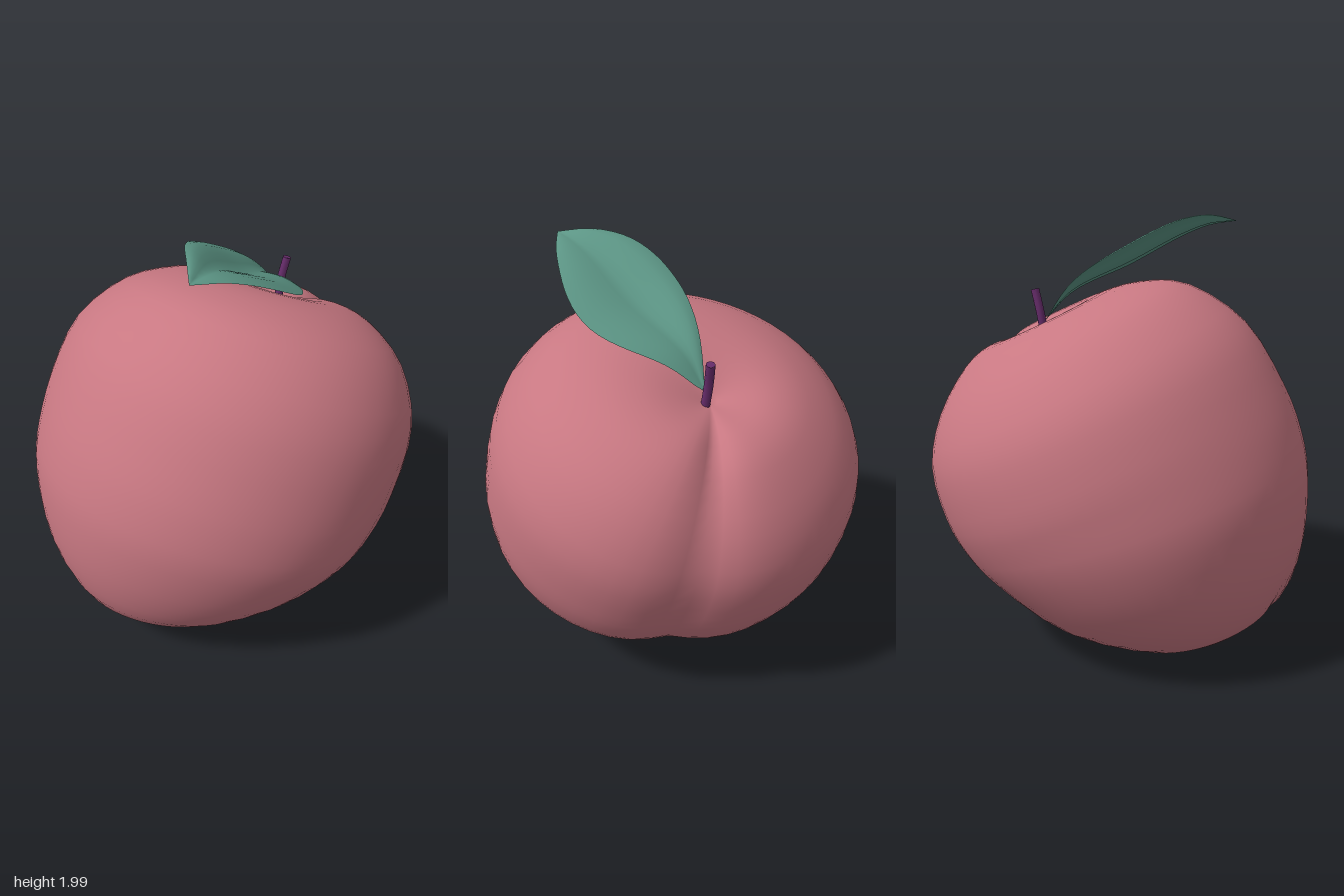
import * as THREE from 'three';
import { mergeVertices } from 'three/addons/utils/BufferGeometryUtils.js';

const { smoothstep } = THREE.MathUtils;
const material = (color, side = THREE.FrontSide) => new THREE.MeshStandardMaterial({ color, side });
const vectors = (list) => list.map((p) => new THREE.Vector3(...p));

function part(name, geometry, mat) {
  const mesh = new THREE.Mesh(geometry, mat);
  mesh.name = name;
  return mesh;
}

// Smooth skin over a grid of points: point(u, v) gives a Vector3
function gridSurface(rows, cols, point) {
  const pos = [], index = [];
  for (let i = 0; i <= rows; i++)
    for (let j = 0; j <= cols; j++) pos.push(...point(i / rows, j / cols).toArray());
  for (let i = 0; i < rows; i++)
    for (let j = 0; j < cols; j++) {
      const a = i * (cols + 1) + j, c = a + cols + 1;
      index.push(a, c, a + 1, a + 1, c, c + 1);
    }
  let geo = new THREE.BufferGeometry();
  geo.setAttribute('position', new THREE.Float32BufferAttribute(pos, 3));
  geo.setIndex(index);
  geo = mergeVertices(geo, 1e-4);
  geo.computeVertexNormals();
  return geo;
}

// Fruit: front and back profiles (radius, height along the axis) blended round a tilted axis
function fruitGeometry() {
  const profile = (list) => new THREE.SplineCurve(list.map((p) => new THREE.Vector2(...p)));
  const front = profile([[0, 0.75], [0.15, 0.79], [0.32, 0.8], [0.52, 0.755], [0.72, 0.63], [0.87, 0.35], [0.89, 0.02],
    [0.86, -0.21], [0.79, -0.41], [0.64, -0.65], [0.44, -0.84], [0.22, -0.86], [0, -0.81]]);
  const back = profile([[0, 0.75], [0.12, 0.81], [0.25, 0.845], [0.4, 0.815], [0.61, 0.68], [0.76, 0.49], [0.82, 0.25],
    [0.82, 0.06], [0.775, -0.12], [0.62, -0.44], [0.38, -0.68], [0.2, -0.78], [0, -0.81]]);
  const axis = new THREE.Vector3(0.139, 0.863, -0.485).normalize();
  const across = new THREE.Vector3(1, 0, 0).addScaledVector(axis, -axis.x).normalize();
  const ahead = new THREE.Vector3().crossVectors(across, axis);
  const middle = new THREE.Vector3(-0.015, 0.787, 0.012);
  const seam = THREE.MathUtils.degToRad(145);

  return gridSurface(36, 56, (u, v) => {
    const turn = v * Math.PI * 2, phi = seam + turn;
    const p = back.getPoint(u).lerp(front.getPoint(u), 0.5 + 0.5 * Math.cos(phi));
    let r = Math.max(0, p.x), h = p.y;
    // Fuller flanks, a slimmer front right, and one lobe sitting higher than the other
    r *= 1 + (0.045 + 0.03 * smoothstep(-h, 0, 0.4)) * Math.sin(phi) ** 2;
    r *= 1 - 0.055 * Math.max(0, Math.cos(phi + Math.PI / 4)) ** 4;
    h += 0.12 * Math.sin(phi) * r * Math.abs(h);
    // Crease down the back, softer towards the bottom, with a short end under the front
    const off = Math.min(turn, Math.PI * 2 - turn);
    const low = 1 - smoothstep(h, -0.85, -0.7);
    const depth = 0.08 + 0.04 * smoothstep(h, -0.3, 0.3);
    const dent = smoothstep(r, 0, 0.35)
      * (depth * Math.exp(-Math.hypot(off, 0.06) / 0.2) + 0.02 * low * Math.exp(-(Math.PI - off) / 0.25));
    r *= 1 - dent;
    h *= 1 - dent;
    return middle.clone().addScaledVector(axis, h)
      .addScaledVector(across, r * Math.sin(phi)).addScaledVector(ahead, r * Math.cos(phi));
  });
}

// Leaf: pointed blade along an arching midrib, folded a little and leaning to one side
function leafGeometry() {
  const rib = new THREE.CatmullRomCurve3(vectors([[0.12, 1.5, -0.36], [0.12, 1.64, -0.235], [0.15, 1.78, 0.05],
    [0.17, 1.91, 0.3], [0.19, 1.955, 0.43], [0.2, 1.965, 0.55]]));
  return gridSurface(24, 10, (u, v) => {
    const p = rib.getPointAt(u);
    const t = THREE.MathUtils.clamp((p.z + 0.36) / 0.91, 0, 1);
    const s = v * 2 - 1, k = Math.abs(s);
    const width = Math.sin(Math.PI * (s < 0 ? t : t ** 0.93));
    const bend = Math.sin(k * Math.PI * 0.6);
    p.x += s * width * (s < 0 ? 0.19 : 0.27);
    p.y += width * (s < 0 ? 0.095 * bend : 0.06 * bend - 0.09 * k);
    return p;
  });
}

export function createModel() {
  const model = new THREE.Group();
  model.name = 'fruit';
  model.add(part('fruitBody', fruitGeometry(), material(0xc87882)));
  model.add(part('leaf', leafGeometry(), material(0x5c9585, THREE.DoubleSide)));

  // Stem with a flat cut end
  const stemPath = new THREE.CatmullRomCurve3(vectors([[0.12, 1.42, -0.36], [0.12, 1.54, -0.38], [0.135, 1.65, -0.405]]));
  const stemColor = material(0x662c6a);
  const stem = new THREE.Group();
  stem.name = 'stem';
  stem.add(part('stalk', new THREE.TubeGeometry(stemPath, 8, 0.02, 8), stemColor));
  const cut = part('stalkEnd', new THREE.CircleGeometry(0.02, 8), stemColor);
  cut.position.copy(stemPath.getPoint(1));
  cut.quaternion.setFromUnitVectors(new THREE.Vector3(0, 0, 1), stemPath.getTangent(1));
  stem.add(cut);
  model.add(stem);
  return model;
}
